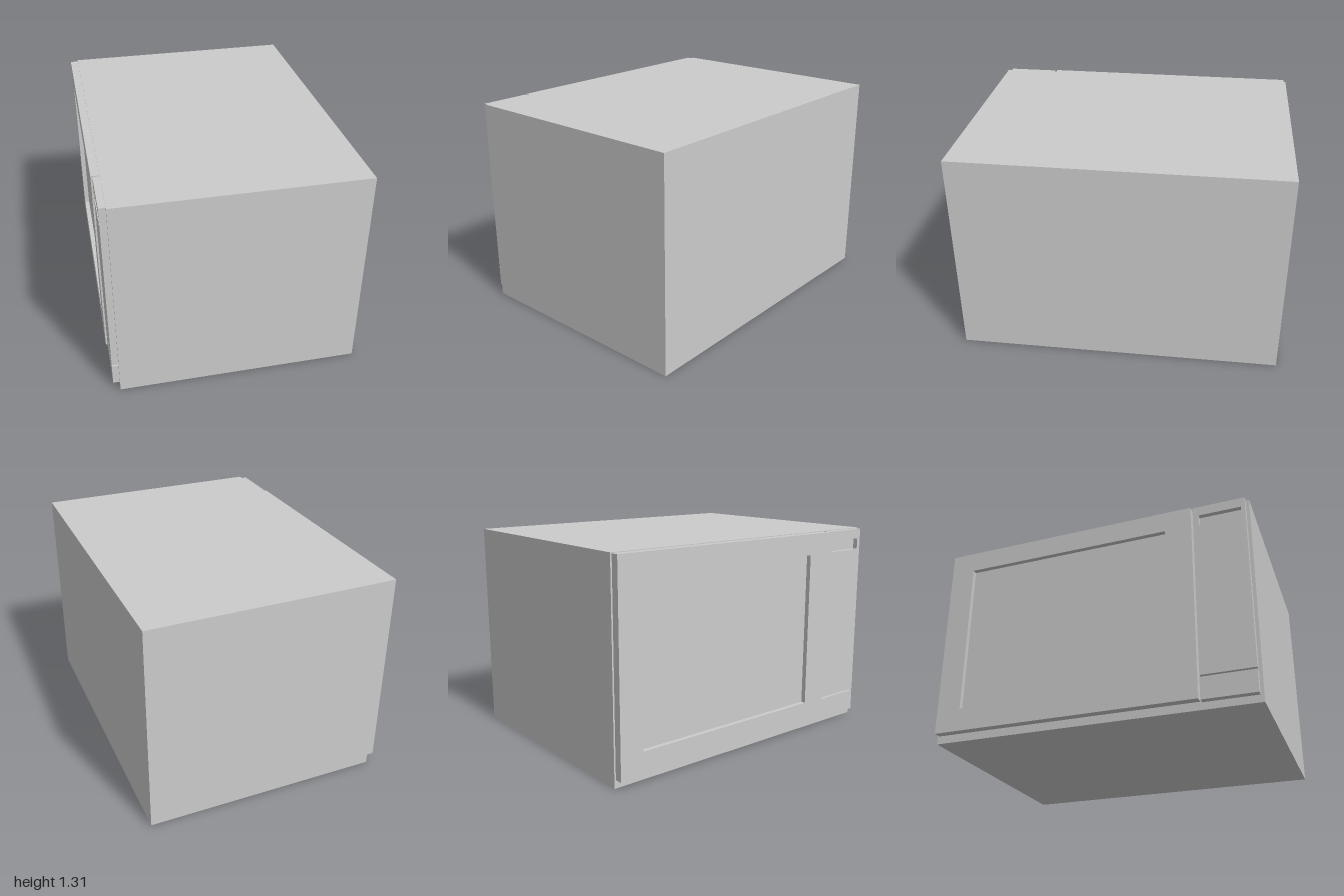
import * as THREE from 'three';

const FACE = -0.715; // plane of the cabinet face that carries the door and controls

function rectPoints([z0, z1, y0, y1]) {
  return [[z0, y0], [z1, y0], [z1, y1], [z0, y1]].map(([z, y]) => new THREE.Vector2(z, y));
}

export function createModel() {
  const group = new THREE.Group();
  const material = new THREE.MeshStandardMaterial({ color: 0xcccccc });

  function add(name, geometry) {
    const mesh = new THREE.Mesh(geometry, material);
    mesh.name = name;
    group.add(mesh);
    return mesh;
  }

  // Slab standing out from the face towards -x; rects are [z0, z1, y0, y1]
  function addSlab(name, rect, depth, opening) {
    const shape = new THREE.Shape(rectPoints(rect));
    if (opening) shape.holes.push(new THREE.Path(rectPoints(opening)));
    const geometry = new THREE.ExtrudeGeometry(shape, { depth, bevelEnabled: false });
    geometry.rotateY(-Math.PI / 2);
    geometry.translate(FACE, 0, 0);
    return add(name, geometry);
  }

  // Cabinet
  const cabinet = add('cabinet', new THREE.BoxGeometry(1.48, 1.31, 2));
  cabinet.position.set(0.025, 0.655, 0);

  // Door frame with the recessed window pane
  const windowRect = [-0.835, 0.485, 0.193, 1.172];
  addSlab('doorFrame', [-0.99, 0.65, 0.05, 1.305], 0.05, windowRect);
  addSlab('windowPane', windowRect, 0.02);

  // Control panel with the recessed display
  const displayRect = [0.695, 0.954, 1.173, 1.243];
  addSlab('controlPanel', [0.66, 0.98, 0.19, 1.305], 0.04, displayRect);
  addSlab('display', displayRect, 0.01);

  // Door release button below the panel
  addSlab('doorButton', [0.66, 0.98, 0.045, 0.18], 0.04);

  return group;
}
